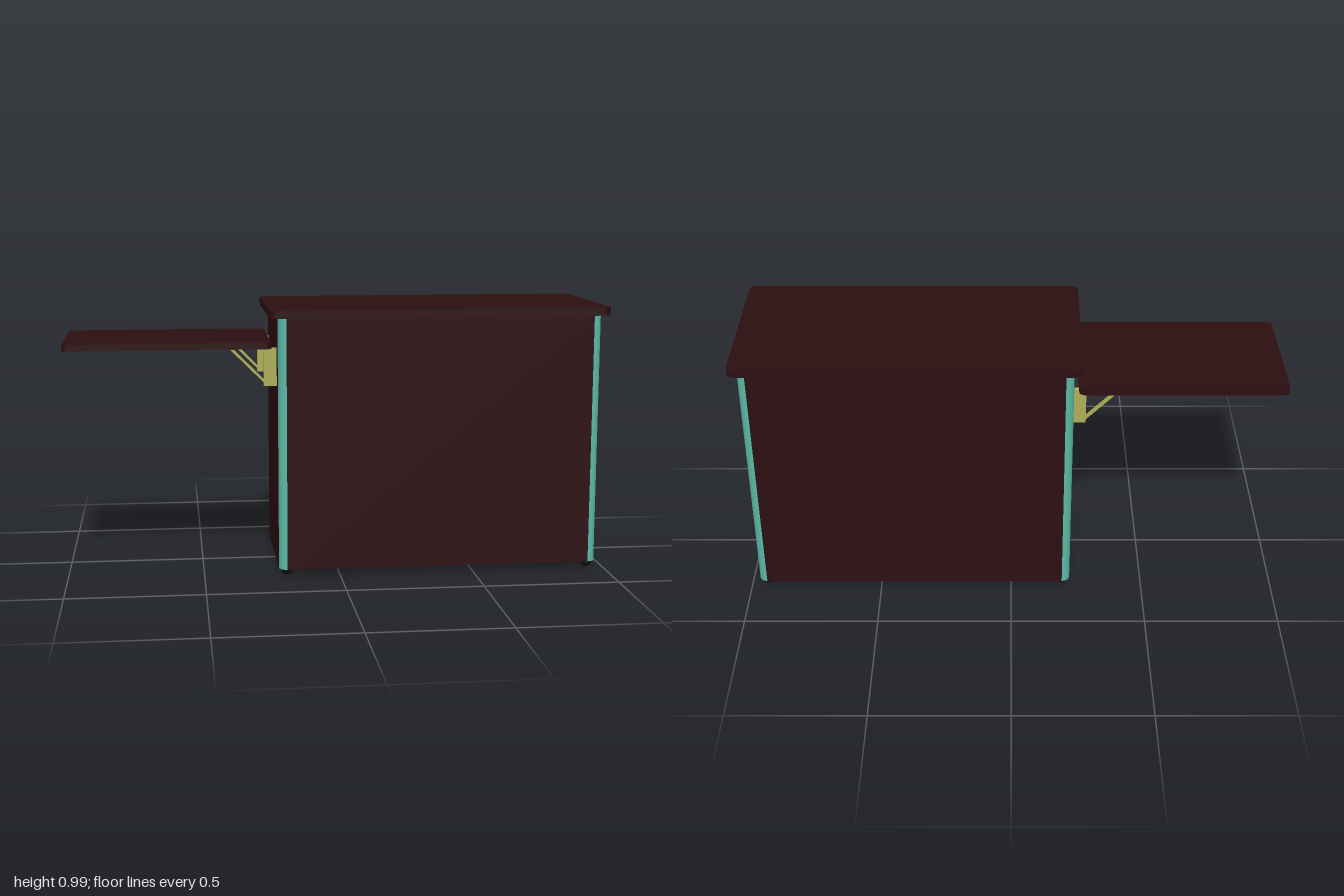
import * as THREE from 'three';

const material = (color) => new THREE.MeshStandardMaterial({ color });

// Horizontal board with rounded corners, from its extents
function board(x0, x1, y0, y1, halfZ, r) {
  const s = new THREE.Shape();
  s.moveTo(x0 + r, -halfZ);
  s.absarc(x1 - r, -halfZ + r, r, -Math.PI / 2, 0);
  s.absarc(x1 - r, halfZ - r, r, 0, Math.PI / 2);
  s.absarc(x0 + r, halfZ - r, r, Math.PI / 2, Math.PI);
  s.absarc(x0 + r, -halfZ + r, r, Math.PI, Math.PI * 1.5);
  const g = new THREE.ExtrudeGeometry(s, { depth: y1 - y0, bevelEnabled: false, curveSegments: 8 });
  return g.rotateX(-Math.PI / 2).translate(0, y0, 0);
}

export function createModel() {
  const model = new THREE.Group();
  const wood = material(0x2c0f11);
  const teal = material(0x5bb9a5);
  const brass = material(0xaeae58);
  const black = material(0x111111);

  const add = (name, geometry, mat, x = 0, y = 0, z = 0, parent = model) => {
    const mesh = new THREE.Mesh(geometry, mat);
    mesh.name = name;
    mesh.position.set(x, y, z);
    parent.add(mesh);
    return mesh;
  };

  // Cabinet extents
  const x0 = -0.225, x1 = 0.97, halfZ = 0.292, y0 = 0.025, y1 = 0.956, r = 0.03;
  const w = x1 - x0, h = y1 - y0, cx = (x0 + x1) / 2, cy = (y0 + y1) / 2;

  // Cabinet walls: long panels front and back, short panels at the ends
  add('cabinetBody', new THREE.BoxGeometry(w - 2 * r, h, 2 * halfZ), wood, cx, cy, 0);
  for (const s of [-1, 1]) {
    add('endPanel', new THREE.BoxGeometry(r, h, 2 * (halfZ - r)), wood, cx + s * (w - r) / 2, cy, 0);
  }

  // Rounded corner posts and ball feet
  for (const sx of [-1, 1]) {
    for (const sz of [-1, 1]) {
      const px = cx + sx * (w / 2 - r), pz = sz * (halfZ - r);
      add('cornerPost', new THREE.CylinderGeometry(r, r, h, 32), teal, px, cy, pz);
      add('foot', new THREE.SphereGeometry(0.021, 20, 14), black, px, 0.021, pz);
    }
  }

  // Worktop and lower side shelf
  add('worktop', board(-0.255, 1, y1, 0.985, 0.315, 0.03), wood);
  add('sideShelf', board(-1, -0.245, 0.84, 0.865, 0.245, 0.02), wood);

  // Folding brackets below the shelf
  for (const sz of [-1, 1]) {
    const bracket = new THREE.Group();
    bracket.name = 'shelfBracket';
    bracket.position.z = sz * 0.2;
    model.add(bracket);
    add('bracketPlate', new THREE.BoxGeometry(0.047, 0.14, 0.018), brass, -0.2485, 0.77, 0, bracket);
    const brace = add('bracketBrace', new THREE.BoxGeometry(0.19, 0.009, 0.014), brass, -0.326, 0.773, 0, bracket);
    brace.rotation.z = -Math.PI / 4;
  }
  return model;
}
